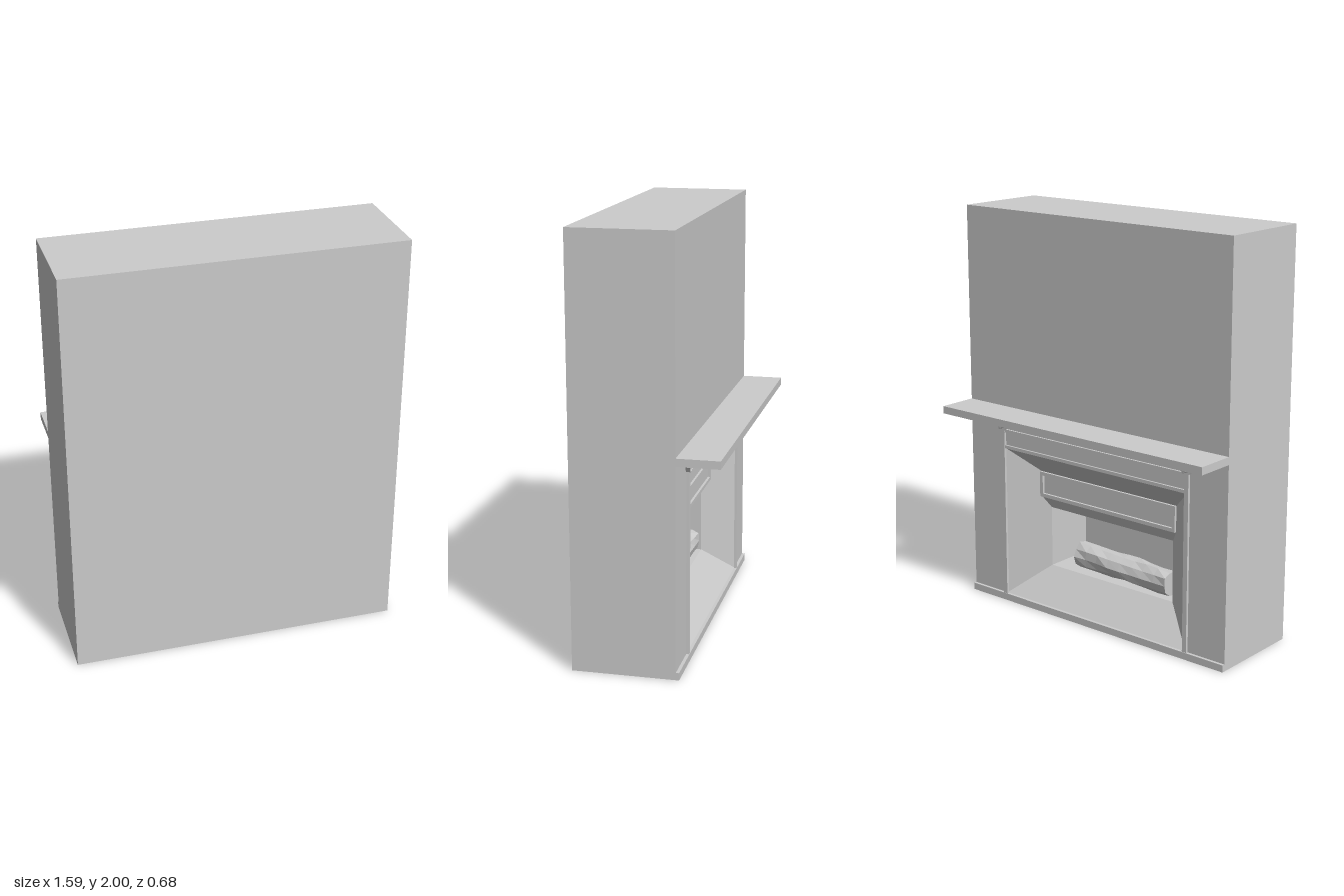
import * as THREE from 'three';

export function createModel() {
  const group = new THREE.Group();
  group.name = 'fireplace';
  const grey = new THREE.MeshStandardMaterial({ color: 0xcccccc, flatShading: true });
  const lining = new THREE.MeshStandardMaterial({ color: 0xcccccc, flatShading: true, side: THREE.DoubleSide });

  function add(name, geometry, material = grey) {
    const mesh = new THREE.Mesh(geometry, material);
    mesh.name = name;
    group.add(mesh);
    return mesh;
  }
  // Box given by its limits on each axis
  function box(name, x0, x1, y0, y1, z0, z1) {
    const mesh = add(name, new THREE.BoxGeometry(x1 - x0, y1 - y0, z1 - z0));
    mesh.position.set((x0 + x1) / 2, (y0 + y1) / 2, (z0 + z1) / 2);
    return mesh;
  }

  const W = 0.795, FACE = -0.14, BACK = 0.34;
  const open = { x: 0.57, y0: 0.035, y1: 0.81 };

  // Chimney breast with the fire opening
  const wall = new THREE.Shape([[-W, 0], [W, 0], [W, 2], [-W, 2]].map(p => new THREE.Vector2(...p)));
  wall.holes.push(new THREE.Path(
    [[-open.x, open.y0], [-open.x, open.y1], [open.x, open.y1], [open.x, open.y0]].map(p => new THREE.Vector2(...p))));
  const depth = BACK - FACE - 0.02;
  add('chimneyBreast', new THREE.ExtrudeGeometry(wall, { depth, bevelEnabled: false })).position.z = FACE;
  box('backPanel', -W, W, 0, 2, BACK - 0.02, BACK);

  // Splayed surround and firebox: rectangles [half width, bottom, top, z] joined front to back
  const rings = [
    [open.x, open.y0, open.y1, FACE],
    [0.425, 0.157, 0.69, -0.03],
    [0.425, 0.157, 0.56, -0.03],
    [0.385, 0.19, 0.5, 0],
    [0.385, 0.19, 0.5, 0.26],
  ];
  const positions = [], index = [];
  rings.forEach(([x, y0, y1, z], r) => {
    positions.push(-x, y0, z, x, y0, z, x, y1, z, -x, y1, z);
    if (r === 0) return;
    for (let i = 0; i < 4; i++) {
      const a = (r - 1) * 4 + i, b = (r - 1) * 4 + (i + 1) % 4;
      index.push(a, a + 4, b, b, a + 4, b + 4);
    }
  });
  const last = (rings.length - 1) * 4;
  index.push(last, last + 2, last + 1, last, last + 3, last + 2);
  const firebox = new THREE.BufferGeometry();
  firebox.setAttribute('position', new THREE.Float32BufferAttribute(positions, 3));
  firebox.setIndex(index);
  const flat = firebox.toNonIndexed();
  flat.computeVertexNormals();
  add('firebox', flat, lining);

  // Raised trim on the band above the fire
  box('bandTopTrim', -0.425, 0.425, 0.672, 0.69, -0.042, -0.03);
  box('bandBottomTrim', -0.425, 0.425, 0.56, 0.578, -0.042, -0.03);
  for (const s of [-1, 1]) box('bandSideTrim', s * 0.416 - 0.009, s * 0.416 + 0.009, 0.578, 0.672, -0.042, -0.03);

  // Hearth and mantel shelf
  box('hearth', -W, W, 0, 0.035, -0.155, FACE);
  box('mantelShelf', -W, W, 0.988, 1.025, -0.338, FACE);

  // Posts and rails around the opening
  for (const s of [-1, 1]) box('post', s * 0.572 - 0.012, s * 0.572 + 0.012, 0.035, 0.91, -0.153, FACE);
  box('lowerRail', -0.56, 0.56, 0.81, 0.826, -0.15, FACE);
  box('upperRail', -0.56, 0.56, 0.892, 0.908, -0.15, FACE);

  // Flared brackets under the shelf
  const flare = new THREE.Shape();
  flare.moveTo(-0.1, 0.988);
  flare.lineTo(-0.1, 0.978);
  flare.quadraticCurveTo(-0.04, 0.955, -0.018, 0.905);
  flare.lineTo(0.018, 0.905);
  flare.quadraticCurveTo(0.04, 0.955, 0.1, 0.978);
  flare.lineTo(0.1, 0.988);
  const bracket = new THREE.ExtrudeGeometry(flare, { depth: 0.036, bevelEnabled: false, curveSegments: 5 });
  bracket.translate(0, 0, -0.176);
  // Lean the lower front edge back towards the wall
  const bp = bracket.attributes.position;
  for (let i = 0; i < bp.count; i++) {
    if (bp.getZ(i) < -0.15 && bp.getY(i) < 0.93) bp.setZ(i, -0.16);
  }
  bracket.computeVertexNormals();
  for (const s of [-1, 1]) add('bracket', bracket).position.x = s * 0.572;

  // Rough log lying in the firebox
  const log = new THREE.CylinderGeometry(0.062, 0.066, 0.6, 10, 8);
  const lp = log.attributes.position;
  for (let i = 0; i < lp.count; i++) {
    const x = lp.getX(i), y = lp.getY(i), z = lp.getZ(i);
    const a = Math.atan2(z, x);
    const k = 1 + 0.06 * Math.sin(3 * a + y * 14) + 0.04 * Math.cos(5 * a - y * 25);
    lp.setXYZ(i, x * k, y, z * k);
  }
  log.rotateZ(Math.PI / 2);
  log.computeVertexNormals();
  const logMesh = add('log', log);
  logMesh.position.set(-0.04, 0.255, 0.075);
  logMesh.rotation.y = -0.06;

  return group;
}
